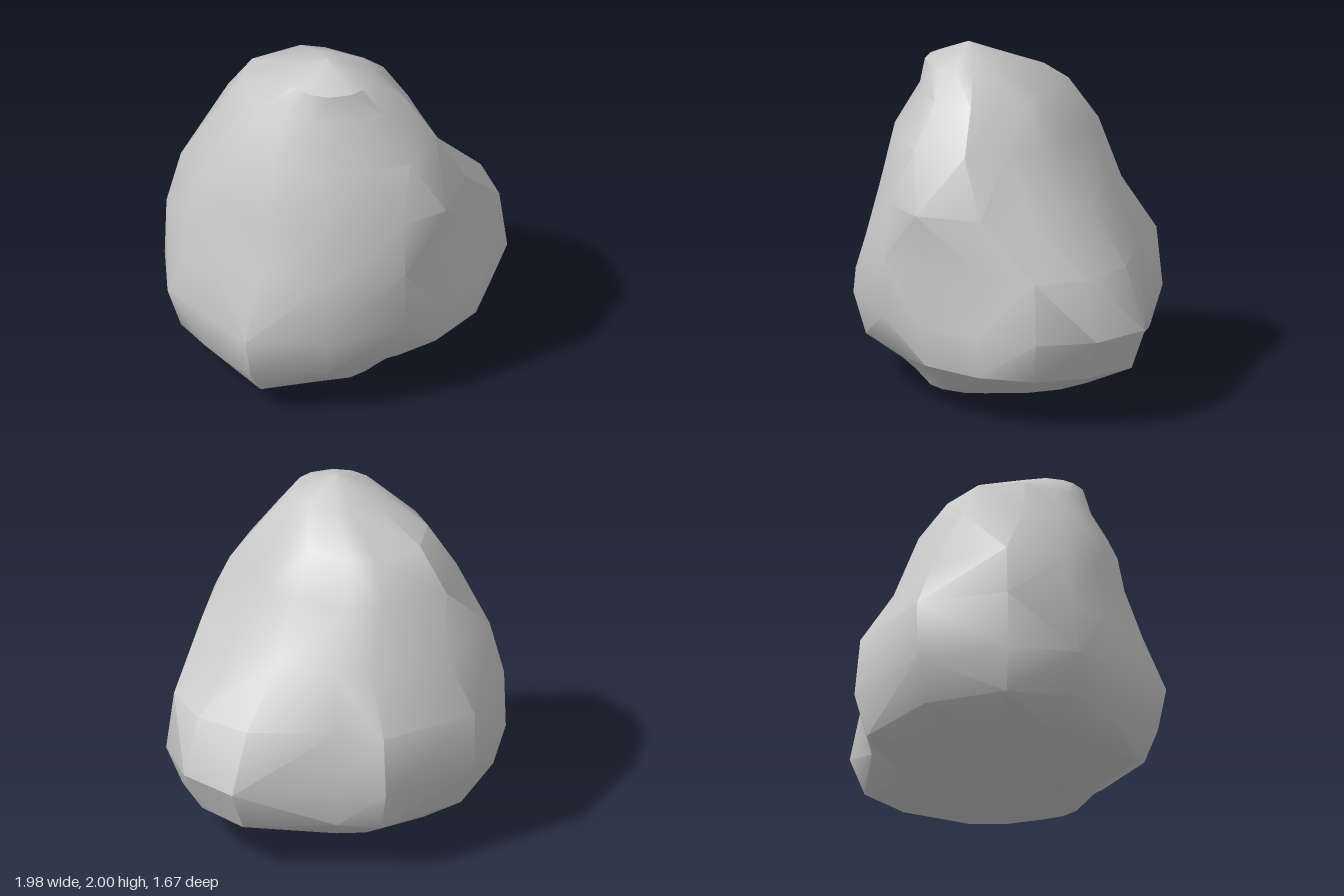
import * as THREE from 'three';
import { toCreasedNormals } from 'three/addons/utils/BufferGeometryUtils.js';

// Directions of the ridges and hollows, in degrees from +x towards +z.
const ridges = [4, 24, 46, 73, 93, 124, 150, 174, 190, 214, 247, 287, 306, 343];
const SIDES = ridges.length;

// A horizontal section around (cx, cz) whose radius depends on the ridge.
const ring = (y, cx, cz, radius) => ridges.map((degrees, j) => {
  const a = THREE.MathUtils.degToRad(degrees);
  return new THREE.Vector3(cx + radius(j) * Math.cos(a), y, cz + radius(j) * Math.sin(a));
});
const roundRing = (y, cx, cz, r) => ring(y, cx, cz, () => r);
const lumpyRing = (y, cx, cz, radii, scale = 1) => ring(y, cx, cz, (j) => radii[j] * scale);

function rockGeometry() {
  const sole = [.54, .55, .54, .5, .5, .6, .86, .76, .72, .66, .57, .5, .48, .53];
  const base = [.88, .87, .81, .75, .74, .84, .98, .91, .92, .88, .81, .76, .68, .87];
  const belly = [1, .965, .84, .79, .84, .91, 1.03, .955, 1, .95, .9, .835, .72, .97];
  const waist = [.91, .92, .75, .75, .83, .84, .89, .88, .9, .94, .9, .8, .68, .83];
  const chest = [.58, .61, .75, .83, .8, .76, .78, .82, .84, .86, .72, .6, .54, .54];
  const shoulder = [.55, .56, .67, .68, .62, .57, .55, .56, .565, .6, .63, .58, .53, .51];

  const rings = [
    roundRing(0.03, -0.16, 0.15, 0.3),
    lumpyRing(0.13, 0, 0, sole),
    lumpyRing(0.29, 0, 0, base),
    lumpyRing(0.53, 0, 0, belly),
    lumpyRing(0.87, 0, 0, waist),
    lumpyRing(1.18, 0, 0, chest),
    lumpyRing(1.5, -0.13, 0.05, shoulder),
    lumpyRing(1.74, -0.14, 0.06, shoulder, 0.73),
    roundRing(1.9, -0.16, 0.22, 0.24),
  ];
  const foot = new THREE.Vector3(-0.4, 0, 0.2);
  const peak = new THREE.Vector3(-0.17, 2, 0.21);
  const last = rings.length - 1;
  const points = [];

  // how far the middle of a diagonal lies from the upright axis
  const reach = (p, q) => Math.hypot(p.x + q.x, p.z + q.z);

  for (let j = 0; j < SIDES; j++) {
    const k = (j + 1) % SIDES;
    // underside and peak
    points.push(foot, rings[0][j], rings[0][k]);
    points.push(rings[last][j], peak, rings[last][k]);
    // flanks, split along the outer diagonal
    for (let i = 0; i < last; i++) {
      const a = rings[i][j], b = rings[i][k], c = rings[i + 1][j], d = rings[i + 1][k];
      if (reach(b, c) > reach(a, d)) points.push(a, c, b, b, c, d);
      else points.push(a, c, d, a, d, b);
    }
  }
  const geometry = new THREE.BufferGeometry().setFromPoints(points);
  return toCreasedNormals(geometry, THREE.MathUtils.degToRad(36));
}

export function createModel() {
  const stoneGrey = new THREE.MeshStandardMaterial({ color: 0xc8c8c8 });
  stoneGrey.name = 'stone grey';

  const boulder = new THREE.Mesh(rockGeometry(), stoneGrey);
  boulder.name = 'boulder';

  const model = new THREE.Group();
  model.name = 'rock';
  model.add(boulder);
  return model;
}
